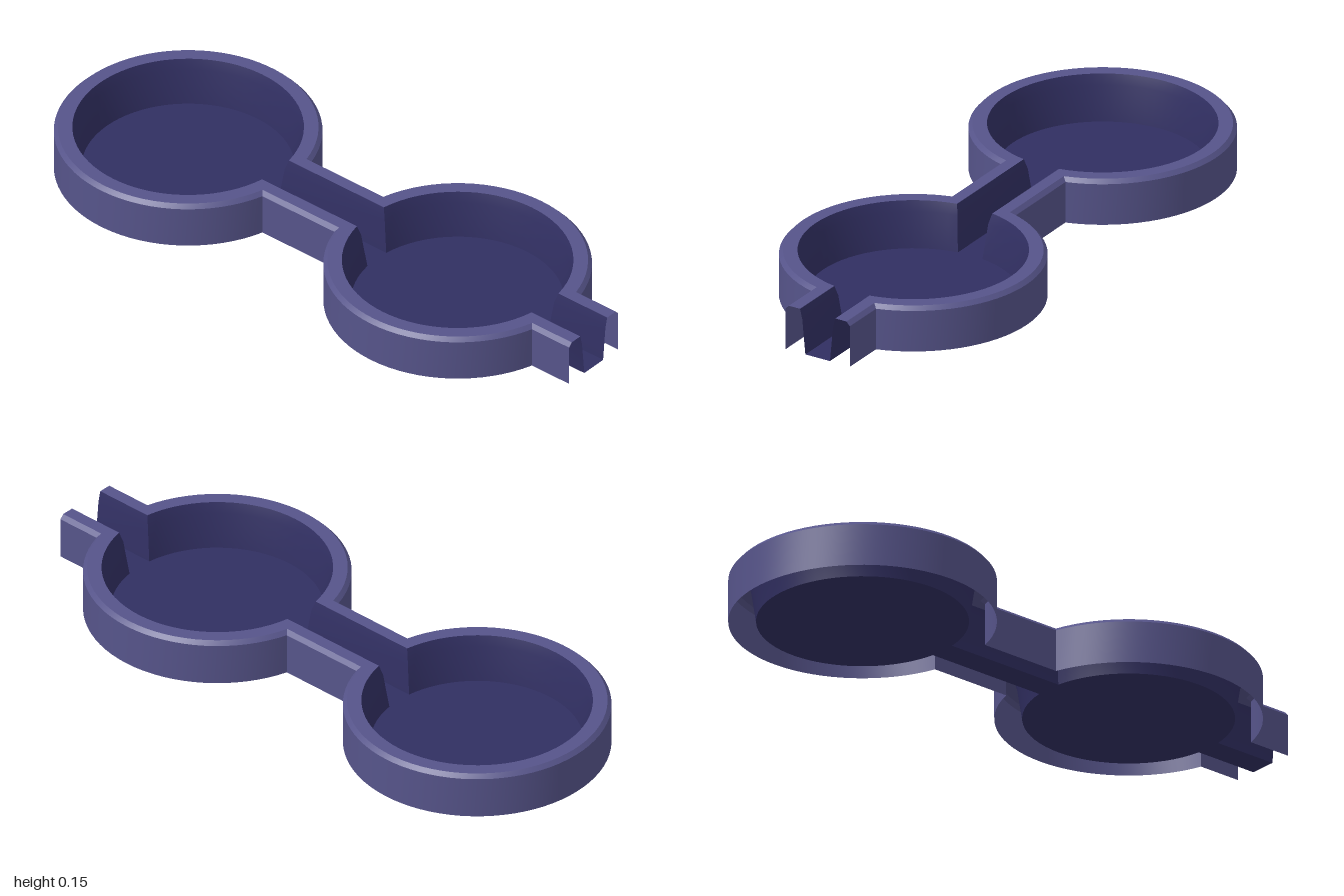
import * as THREE from 'three';
import { toCreasedNormals } from 'three/addons/utils/BufferGeometryUtils.js';

const CENTERS = { left: 0.465, right: -0.595 };
const END = 1;

// Plan outline: two round pans joined by a channel that is open at x = END
function outline(r, h) {
  const a = Math.asin(h / r);
  const pts = [[END, h]];
  const arc = (cx, from, to, n) => {
    for (let i = 0; i <= n; i++) {
      const t = from + (to - from) * i / n;
      pts.push([cx + r * Math.cos(t), r * Math.sin(t)]);
    }
  };
  arc(CENTERS.left, a, Math.PI - a, 32);
  arc(CENTERS.right, a, 2 * Math.PI - a, 72);
  arc(CENTERS.left, Math.PI + a, 2 * Math.PI - a, 32);
  pts.push([END, -h]);
  return pts;
}

// Skin between outlines, each row being [pan radius, channel half width, height]
function loft(rows) {
  const pos = [], idx = [];
  let n = 0;
  for (const [r, h, y] of rows) {
    const pts = outline(r, h);
    n = pts.length;
    for (const [x, z] of pts) pos.push(x, y, z);
  }
  for (let j = 0; j < rows.length - 1; j++) {
    for (let i = 0; i < n - 1; i++) {
      const a = j * n + i, b = a + 1, c = a + n, d = c + 1;
      idx.push(a, c, b, b, c, d);
    }
  }
  const g = new THREE.BufferGeometry();
  g.setAttribute('position', new THREE.Float32BufferAttribute(pos, 3));
  g.setIndex(idx);
  return toCreasedNormals(g, 0.45);
}

export function createModel() {
  const group = new THREE.Group();
  const shell = new THREE.MeshStandardMaterial({ color: 0x56548a, side: THREE.DoubleSide });
  shell.name = 'light violet';
  const lining = new THREE.MeshStandardMaterial({ color: 0x312f62, side: THREE.DoubleSide });
  lining.name = 'dark violet';

  const add = (name, geometry, material) => {
    const mesh = new THREE.Mesh(geometry, material);
    mesh.name = name;
    group.add(mesh);
  };

  // Outer wall, chamfer and flat rim
  add('outerWallAndRim', loft([
    [0.405, 0.115, 0],
    [0.405, 0.115, 0.135],
    [0.393, 0.103, 0.148],
    [0.349, 0.063, 0.148],
  ]), shell);

  // Sloping inner wall
  add('innerWall', loft([
    [0.349, 0.063, 0.148],
    [0.338, 0.055, 0.115],
    [0.321, 0.044, 0.001],
  ]), lining);

  // Thin floor of the pans and channel
  const shape = new THREE.Shape(outline(0.321, 0.044).map(([x, z]) => new THREE.Vector2(x, z)));
  const floor = new THREE.ShapeGeometry(shape);
  floor.rotateX(-Math.PI / 2);
  floor.translate(0, 0.001, 0);
  add('floor', floor, lining);

  return group;
}
